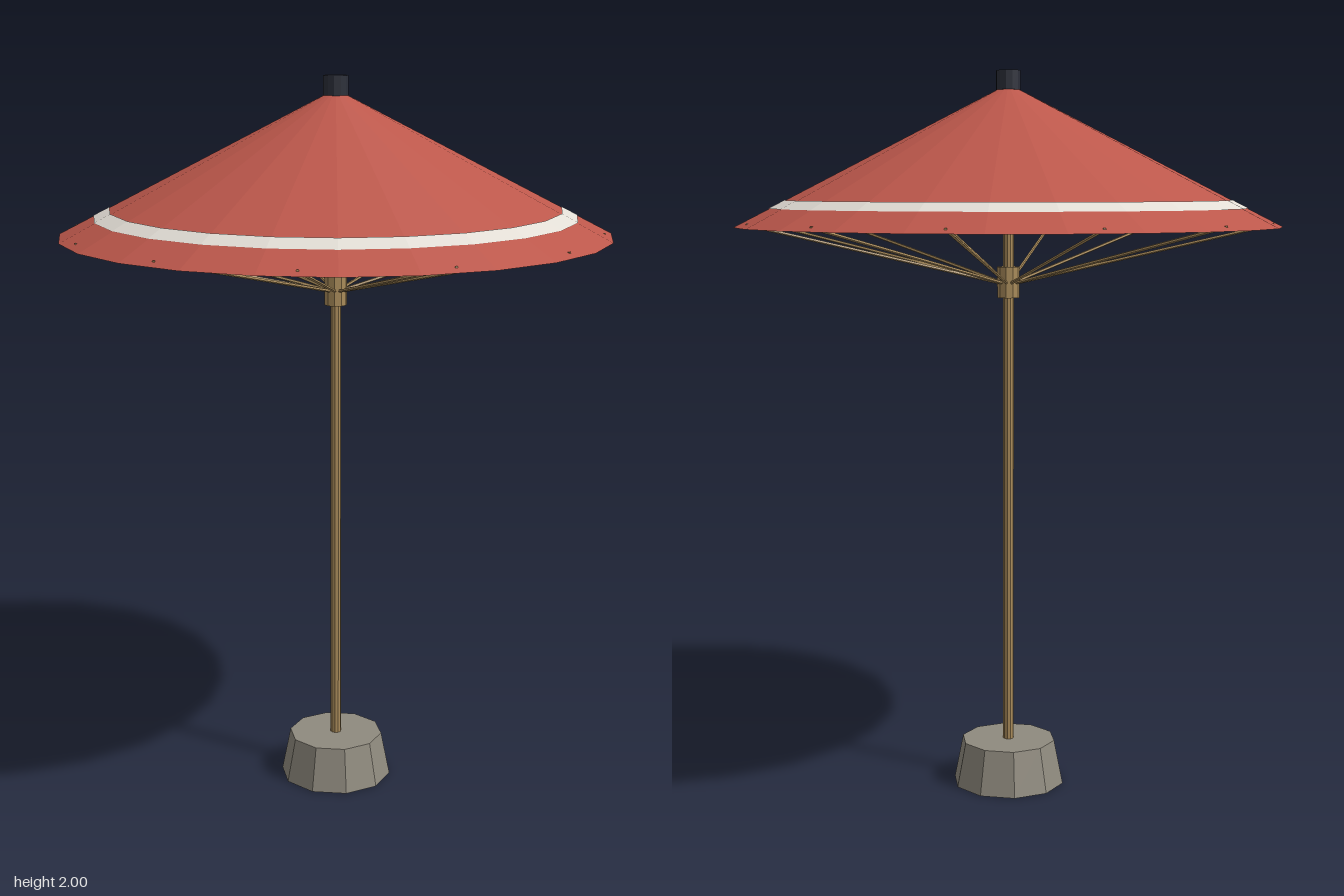
import * as THREE from 'three';

const material = (name, color) => {
  const m = new THREE.MeshStandardMaterial({ color, flatShading: true });
  m.name = name;
  return m;
};

export function createModel() {
  const model = new THREE.Group();
  model.name = 'parasol';
  const red = material('canopy red', 0xbc574b);
  const cream = material('stripe cream', 0xe2ddd5);
  const brass = material('pole brass', 0xa98b5a);
  const stone = material('base stone', 0x8f8a7e);
  const dark = material('finial dark', 0x2b2e39);

  // Upright cylinder or frustum between two heights
  const post = (name, mat, rTop, rBottom, y0, y1, sides, turn = 0, open = false) => {
    const geo = new THREE.CylinderGeometry(rTop, rBottom, y1 - y0, sides, 1, open);
    geo.rotateY(turn).translate(0, (y0 + y1) / 2, 0);
    const mesh = new THREE.Mesh(geo, mat);
    mesh.name = name;
    model.add(mesh);
    return mesh;
  };

  // Ten-sided weighted foot, pole and sliding hub
  post('base', stone, 0.133, 0.158, 0, 0.125, 10, Math.PI / 10);
  post('pole', brass, 0.015, 0.015, 0.12, 1.9, 10);
  post('hub', brass, 0.031, 0.031, 1.385, 1.47, 10);

  // Closed conical canopy, with the flats facing front and sides
  const turn = Math.PI / 24;
  const rim = 0.747, rimY = 1.58, apexY = 1.964;
  post('canopy', red, 0, rim, rimY, apexY, 24, turn);

  // Painted stripe lying just over the canopy
  const coneY = (r) => apexY - (r / rim) * (apexY - rimY);
  post('stripe', cream, 0.61, 0.653, coneY(0.653) + 0.002, coneY(0.61) + 0.002, 24, turn, true);

  post('finial', dark, 0.034, 0.034, 1.948, 2, 12);

  // Twelve thin struts from the hub to the rim
  const start = new THREE.Vector3(0, 1.425, 0.02);
  const end = new THREE.Vector3(0, 1.59, 0.722);
  const along = end.clone().sub(start);
  const strutGeo = new THREE.CylinderGeometry(0.0045, 0.0045, along.length(), 5);
  strutGeo.applyQuaternion(
    new THREE.Quaternion().setFromUnitVectors(new THREE.Vector3(0, 1, 0), along.clone().normalize()));
  strutGeo.translate(0, (start.y + end.y) / 2, (start.z + end.z) / 2);
  const struts = new THREE.Group();
  struts.name = 'struts';
  for (let i = 0; i < 12; i++) {
    const strut = new THREE.Mesh(strutGeo, brass);
    strut.name = 'strut';
    strut.rotation.y = (i * Math.PI) / 6;
    struts.add(strut);
  }
  model.add(struts);
  return model;
}
